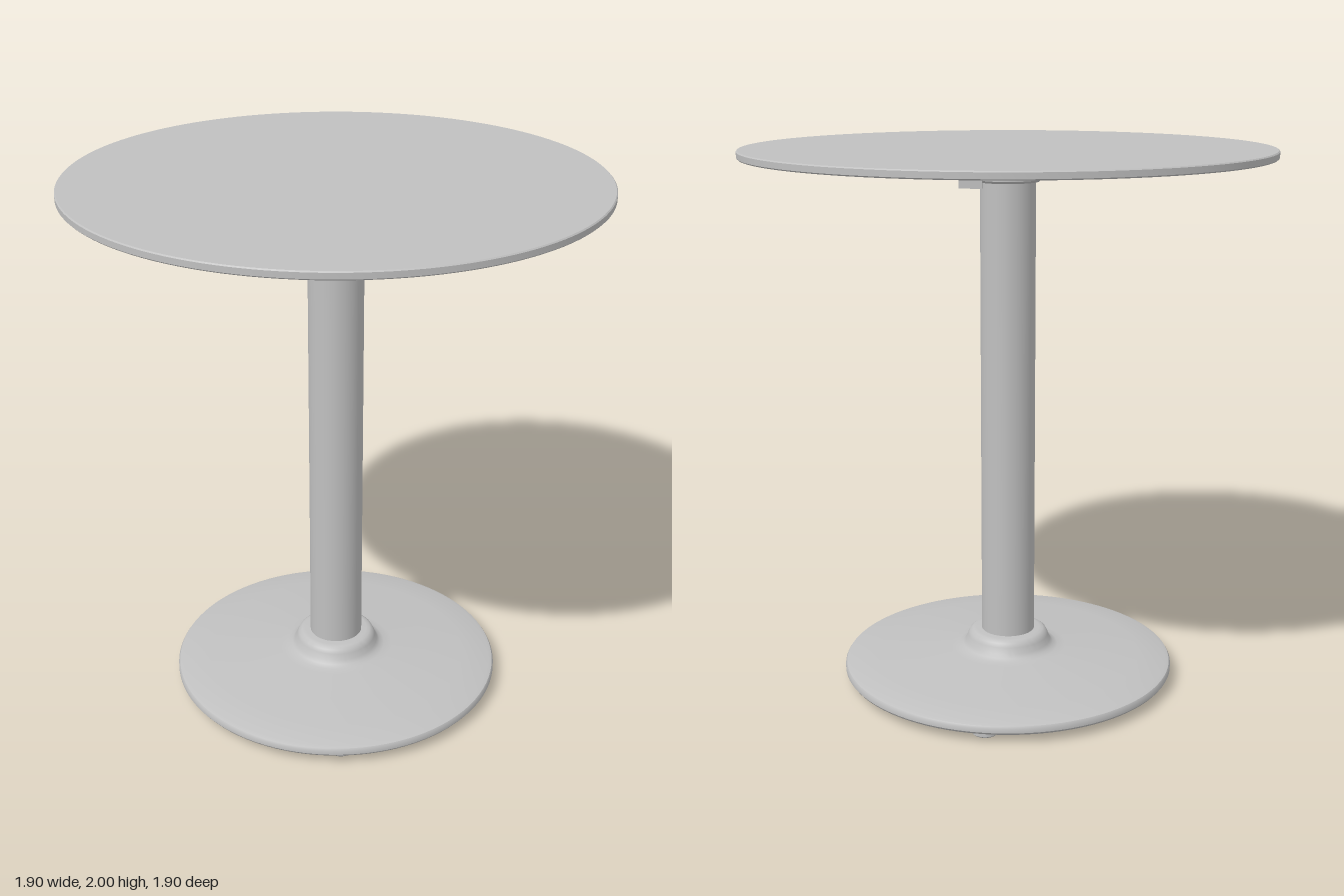
import * as THREE from 'three';
import { toCreasedNormals } from 'three/addons/utils/BufferGeometryUtils.js';

const metal = new THREE.MeshStandardMaterial({ color: 0xc0c0c0 });
metal.name = 'grey metal';

function add(parent, name, geometry, x = 0, y = 0, z = 0) {
  const mesh = new THREE.Mesh(geometry, metal);
  mesh.name = name;
  mesh.position.set(x, y, z);
  parent.add(mesh);
  return mesh;
}

// Solid of revolution from [radius, height] pairs, listed bottom to top
function turned(points, segments = 96) {
  const profile = points.map(([r, y]) => new THREE.Vector2(r, y));
  return toCreasedNormals(new THREE.LatheGeometry(profile, segments), 0.6);
}

export function createModel() {
  const table = new THREE.Group();
  table.name = 'pedestalTable';

  // Thin round top
  add(table, 'tableTop', turned([
    [0, 1.972], [0.944, 1.972], [0.948, 1.976], [0.948, 1.996], [0.944, 2], [0, 2],
  ], 128));

  // Column
  add(table, 'column', new THREE.CylinderGeometry(0.1, 0.1, 1.78, 64), 0, 1.05, 0);

  // Shallow domed base with a flared neck around the column
  add(table, 'base', turned([
    [0, 0.03], [0.605, 0.03], [0.618, 0.034], [0.624, 0.042], [0.624, 0.058],
    [0.619, 0.066], [0.605, 0.071], [0.5, 0.083], [0.36, 0.097], [0.22, 0.109],
    [0.19, 0.112], [0.172, 0.12], [0.161, 0.133], [0.153, 0.155], [0.146, 0.169],
    [0.134, 0.178], [0.12, 0.18], [0, 0.18],
  ]));

  // Collar and mounting flange under the top
  add(table, 'collar', turned([
    [0, 1.88], [0.112, 1.88], [0.12, 1.888], [0.12, 1.936], [0, 1.936],
  ]));
  add(table, 'flange', turned([
    [0, 1.934], [0.182, 1.934], [0.187, 1.939], [0.187, 1.972], [0, 1.972],
  ]));

  // Four diagonal arms with bent tips and screws, and four feet in line with them
  for (let i = 0; i < 4; i++) {
    const spoke = new THREE.Group();
    spoke.name = `spoke${i + 1}`;
    spoke.rotation.y = Math.PI / 4 + (i * Math.PI) / 2;
    add(spoke, 'supportArm', new THREE.BoxGeometry(0.62, 0.014, 0.072), 0.46, 1.965, 0);
    add(spoke, 'armTip', new THREE.BoxGeometry(0.012, 0.042, 0.072), 0.764, 1.951, 0);
    add(spoke, 'armScrew', new THREE.CylinderGeometry(0.016, 0.012, 0.006, 20), 0.41, 1.956, 0);
    add(spoke, 'foot', turned([
      [0, 0], [0.043, 0], [0.048, 0.005], [0.048, 0.032], [0, 0.032],
    ], 32), 0.537, 0, 0);
    table.add(spoke);
  }

  return table;
}
